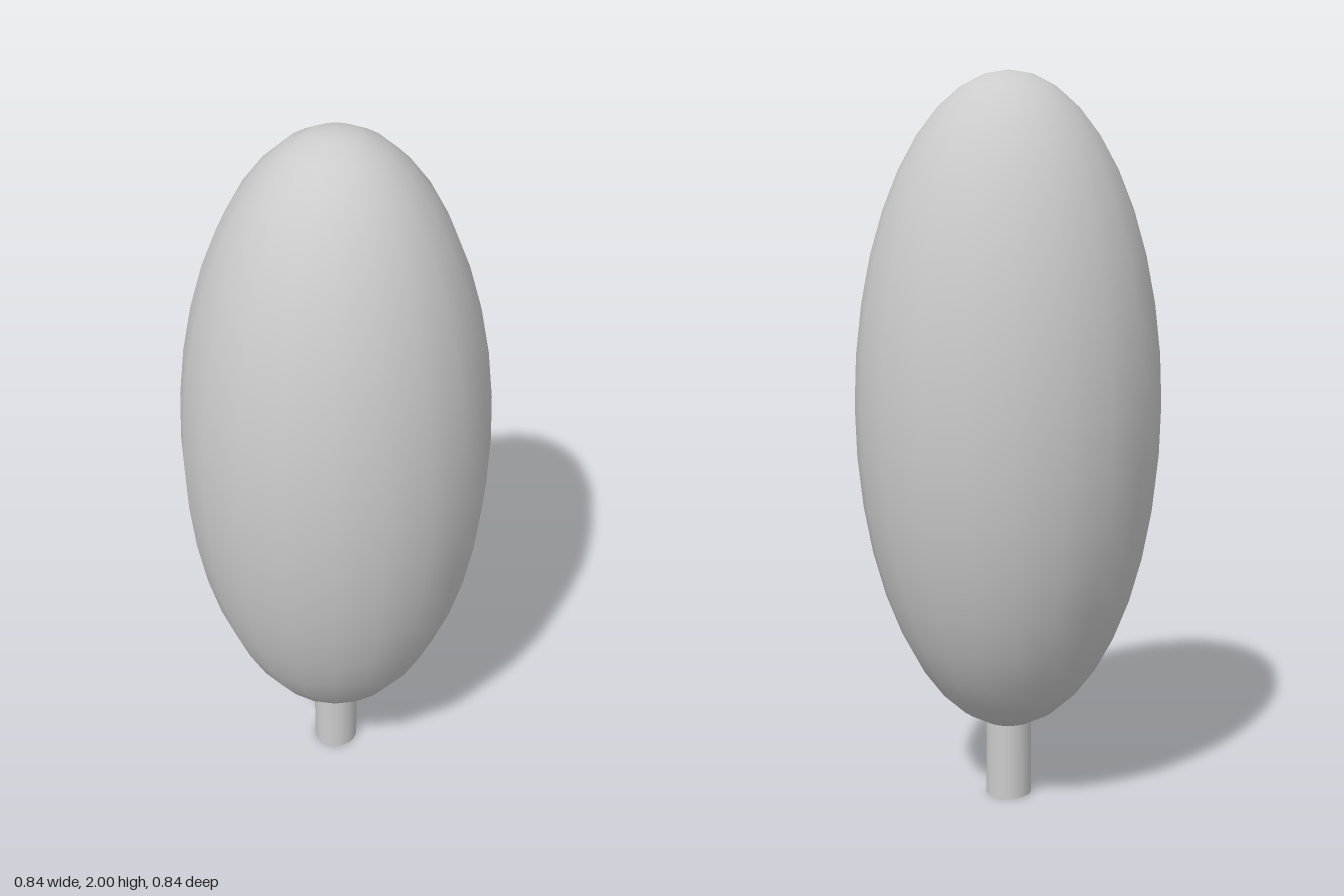
import * as THREE from 'three';

export function createModel() {
  const model = new THREE.Group();
  model.name = 'tree';
  const material = new THREE.MeshStandardMaterial({ color: 0xcccccc });

  // Tall ellipsoid crown
  const crownGeometry = new THREE.SphereGeometry(1, 20, 20);
  crownGeometry.scale(0.42, 0.9, 0.42);
  const crown = new THREE.Mesh(crownGeometry, material);
  crown.name = 'crown';
  crown.position.y = 1.1;
  model.add(crown);

  // Short round trunk, reaching slightly into the crown
  const trunkHeight = 0.24;
  const trunk = new THREE.Mesh(
    new THREE.CylinderGeometry(0.063, 0.063, trunkHeight, 20),
    material
  );
  trunk.name = 'trunk';
  trunk.position.y = trunkHeight / 2;
  model.add(trunk);

  return model;
}
